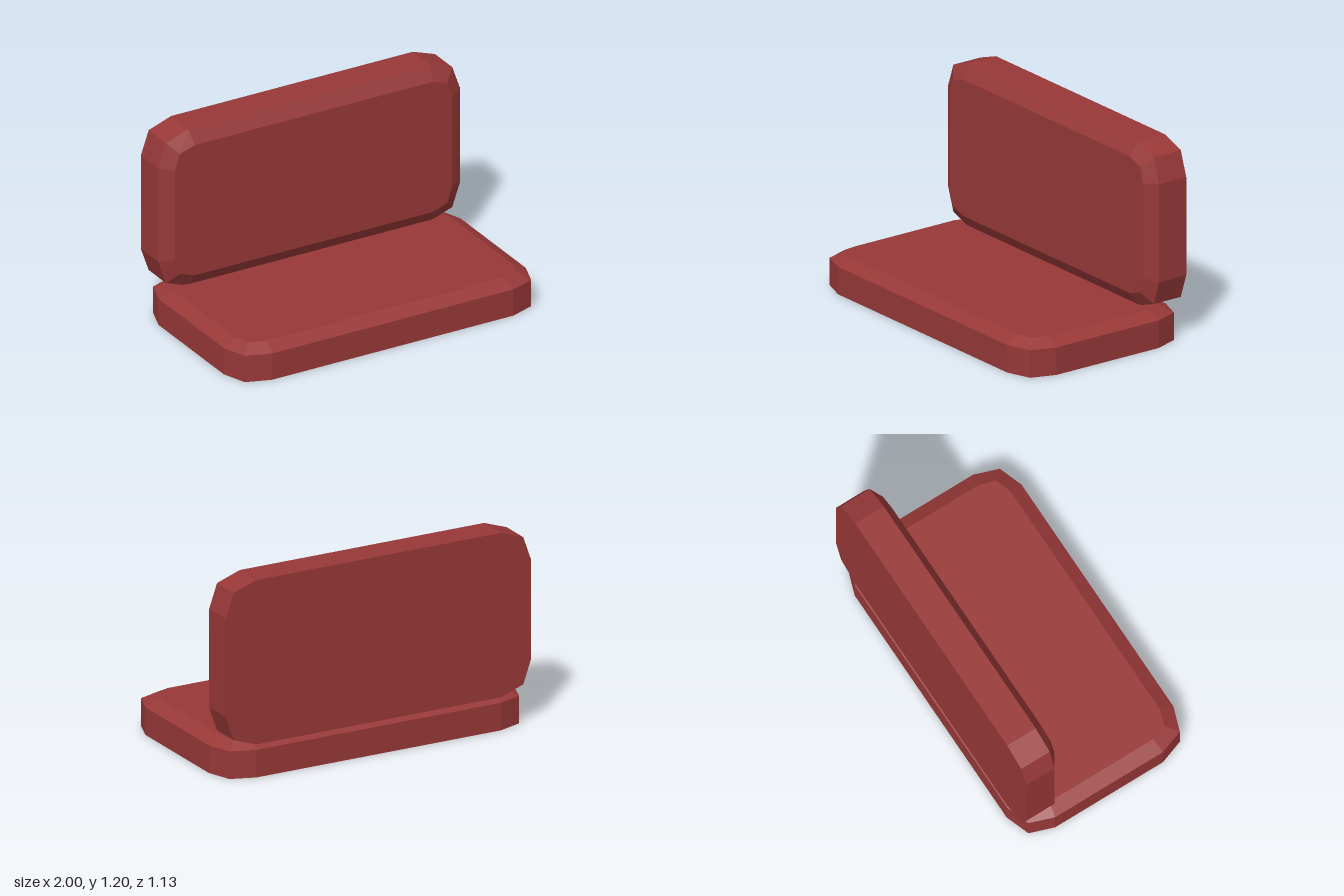
import * as THREE from 'three';

const red = new THREE.MeshStandardMaterial({ color: 0x983838 });
red.name = 'cushion red';

// Closed outline (anticlockwise) whose corners are each cut by two straight segments.
// corner lists the points of the +x +y corner, from the side to the top.
function outline(corner) {
  const flipped = [...corner].reverse();
  return [
    ...corner,
    ...flipped.map(([x, y]) => [-x, y]),
    ...corner.map(([x, y]) => [-x, -y]),
    ...flipped.map(([x, y]) => [x, -y]),
  ];
}

// Cushion lying in XY: flat back at z = 0, straight sides, bevelled front.
function cushionGeometry(halfW, halfH, sideDepth, fullDepth) {
  const outer = outline([[halfW, halfH - 0.2], [halfW - 0.052, halfH - 0.052], [halfW - 0.2, halfH]]);
  const inner = outline([
    [halfW - 0.083, halfH - 0.213],
    [halfW - 0.115, halfH - 0.115],
    [halfW - 0.213, halfH - 0.083],
  ]);
  const rings = [
    outer.map(([x, y]) => [x, y, 0]),
    outer.map(([x, y]) => [x, y, sideDepth]),
    inner.map(([x, y]) => [x, y, fullDepth]),
  ];
  const n = outer.length;
  const pos = [];
  const tri = (a, b, c) => pos.push(...a, ...b, ...c);

  // side walls and bevel
  for (let r = 0; r < 2; r++) {
    for (let i = 0; i < n; i++) {
      const j = (i + 1) % n;
      tri(rings[r][i], rings[r][j], rings[r + 1][j]);
      tri(rings[r][i], rings[r + 1][j], rings[r + 1][i]);
    }
  }
  // back and front faces
  for (let i = 1; i < n - 1; i++) {
    tri(rings[0][0], rings[0][i + 1], rings[0][i]);
    tri(rings[2][0], rings[2][i], rings[2][i + 1]);
  }

  const geo = new THREE.BufferGeometry();
  geo.setAttribute('position', new THREE.Float32BufferAttribute(pos, 3));
  geo.computeVertexNormals(); // unshared corners give flat faces
  return geo;
}

export function createModel() {
  const group = new THREE.Group();
  group.name = 'bench cushions';

  // seat cushion, bevel facing up
  const seat = new THREE.Mesh(cushionGeometry(1, 0.565, 0.167, 0.21), red);
  seat.name = 'seatCushion';
  seat.rotation.x = -Math.PI / 2;
  group.add(seat);

  // upright cushion, bevel facing forward
  const back = new THREE.Mesh(cushionGeometry(1, 0.498, 0.193, 0.244), red);
  back.name = 'backCushion';
  back.position.set(0, 0.697, -0.562);
  group.add(back);

  return group;
}
